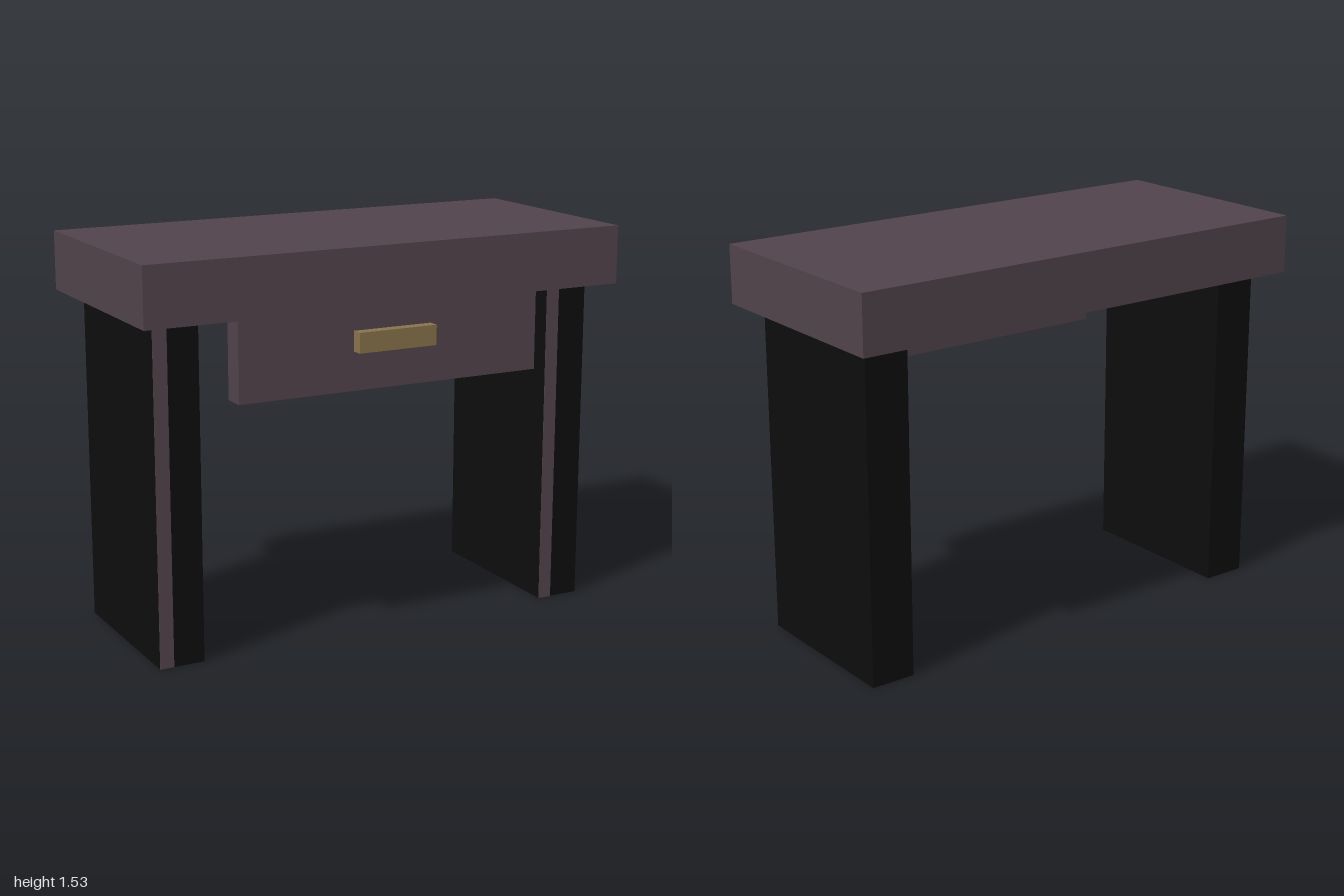
import * as THREE from 'three';

const plum = new THREE.MeshStandardMaterial({ color: 0x51434b });
plum.name = 'plum wood';
const black = new THREE.MeshStandardMaterial({ color: 0x0d0d0d });
black.name = 'black panel';
const brass = new THREE.MeshStandardMaterial({ color: 0x87724c });
brass.name = 'brass';

// Box given by its extents on each axis
function block(name, material, [x0, x1], [y0, y1], [z0, z1]) {
  const mesh = new THREE.Mesh(new THREE.BoxGeometry(x1 - x0, y1 - y0, z1 - z0), material);
  mesh.position.set((x0 + x1) / 2, (y0 + y1) / 2, (z0 + z1) / 2);
  mesh.name = name;
  return mesh;
}

export function createModel() {
  const desk = new THREE.Group();
  desk.name = 'desk';

  // Thick top slab
  desk.add(block('deskTop', plum, [-1, 1], [1.305, 1.535], [-0.467, 0.437]));

  // Panel legs, each with a plum strip along the same edge of its front
  for (const [side, x] of [['right', -0.928], ['left', 0.745]]) {
    const leg = new THREE.Group();
    leg.name = side + 'Leg';
    leg.add(
      block('legPanel', black, [x, x + 0.179], [0, 1.305], [-0.355, 0.331]),
      block('legStrip', plum, [x, x + 0.056], [0, 1.305], [0.331, 0.333])
    );
    desk.add(leg);
  }

  // Drawer front and its bar handle
  desk.add(
    block('drawer', plum, [-0.635, 0.632], [0.995, 1.305], [0.333, 0.422]),
    block('drawerHandle', brass, [-0.165, 0.162], [1.145, 1.223], [0.422, 0.467])
  );
  return desk;
}
